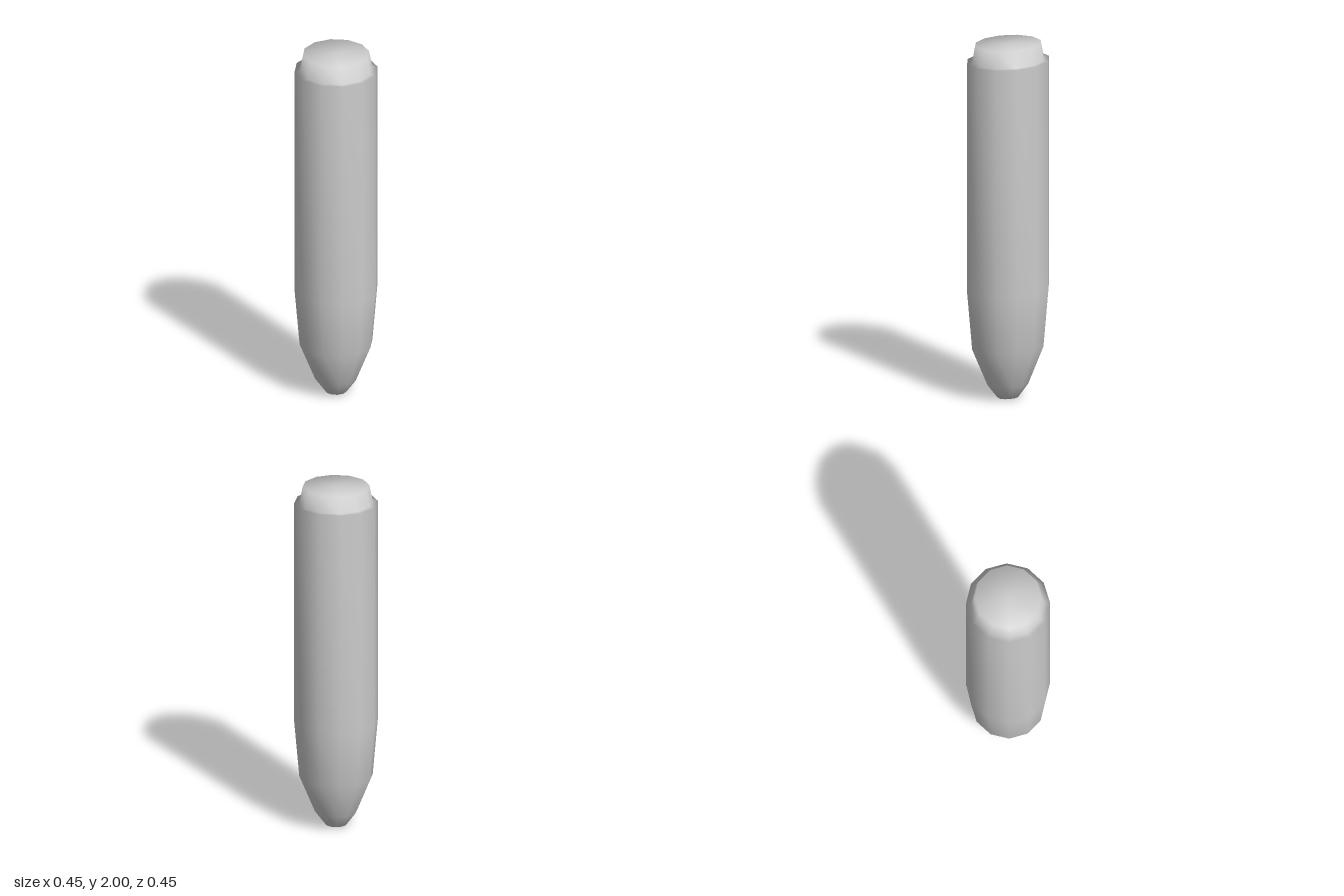
import * as THREE from 'three';
import { mergeVertices } from 'three/addons/utils/BufferGeometryUtils.js';

const SIDES = 12;
const TILT = 0.034; // each ring leans up towards +x and -z

export function createModel() {
  const group = new THREE.Group();
  group.name = 'taperedRod';

  // Radius and height from the tip to the flat cap
  const profile = [
    [0, 0.002], [0.058, 0.013], [0.115, 0.09], [0.2, 0.298], [0.228, 0.62],
    [0.228, 1.897], [0.2, 1.897], [0.182, 1.991], [0, 1.991],
  ].map(([r, y]) => new THREE.Vector2(r, y));

  // Twelve-sided body with the ring corners turned off the axes
  let geometry = new THREE.LatheGeometry(profile, SIDES, THREE.MathUtils.degToRad(24));
  const p = geometry.attributes.position;
  for (let i = 0; i < p.count; i++) {
    p.setY(i, p.getY(i) + TILT * (p.getX(i) - p.getZ(i)));
  }

  // Weld the seam so the whole surface shades smoothly
  geometry.deleteAttribute('normal');
  geometry.deleteAttribute('uv');
  geometry = mergeVertices(geometry, 1e-4);
  geometry.computeVertexNormals();

  const body = new THREE.Mesh(geometry, new THREE.MeshStandardMaterial({ color: 0xcccccc }));
  body.name = 'body';
  group.add(body);
  return group;
}
